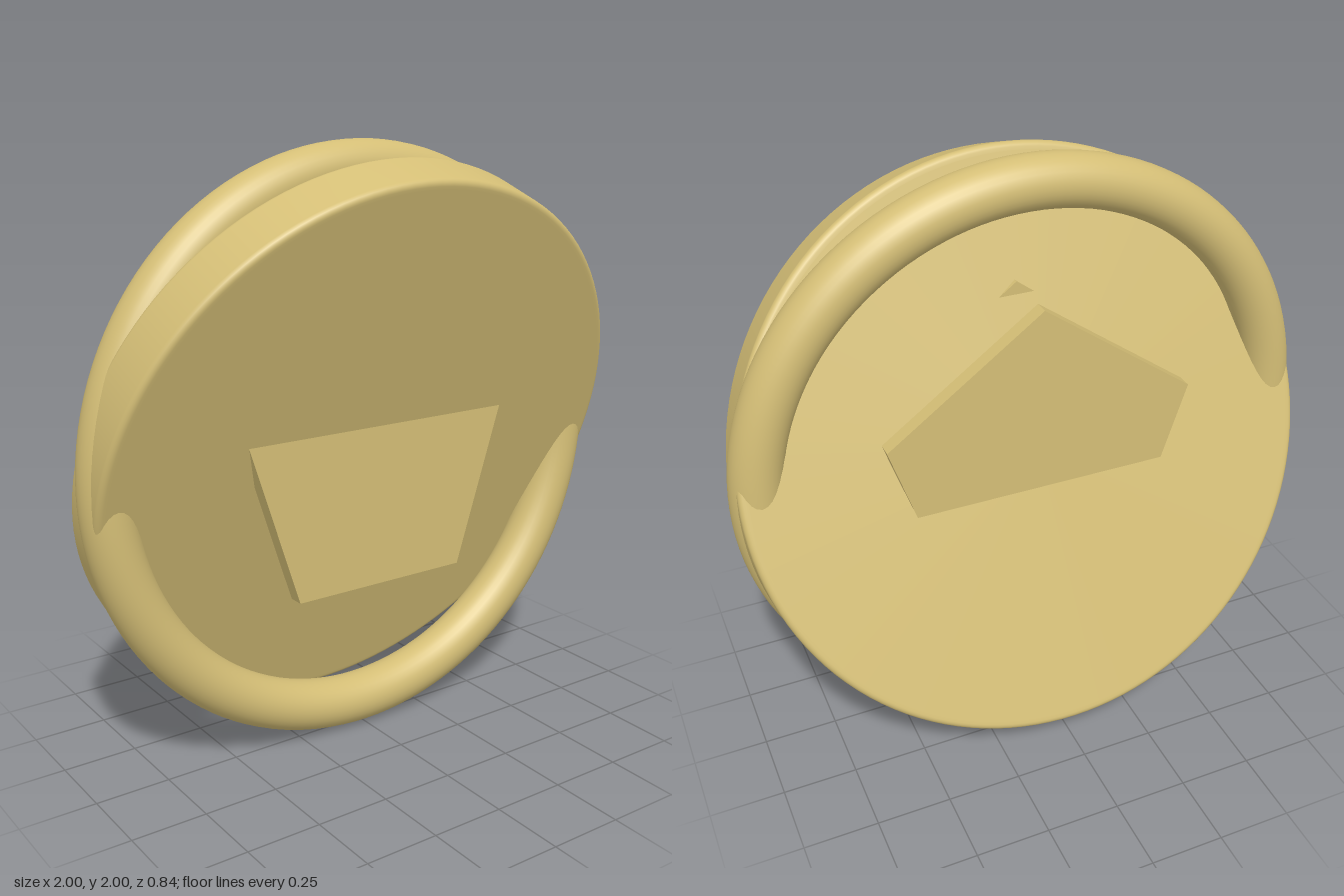
import * as THREE from 'three';

const CENTRE_Y = 1;

export function createModel() {
  const model = new THREE.Group();
  model.name = 'tiltedDiscEmblem';
  const gold = new THREE.MeshStandardMaterial({ color: 0xd4be76 });
  gold.name = 'gold';

  const add = (name, geometry) => {
    const mesh = new THREE.Mesh(geometry, gold);
    mesh.name = name;
    mesh.position.y = CENTRE_Y;
    model.add(mesh);
    return mesh;
  };

  // Upright outer ring
  add('ring', new THREE.TorusGeometry(0.914, 0.086, 32, 128));

  // Solid disc with softly rounded rim, leaning forward at the top
  const R = 0.982, H = 0.095, B = 0.02;
  const profile = [new THREE.Vector2(0, -H), new THREE.Vector2(R - B - 0.01, -H)];
  for (const side of [-1, 1]) {
    for (let i = 0; i <= 5; i++) {
      const a = (side < 0 ? -Math.PI / 2 : 0) + (i / 5) * Math.PI / 2;
      profile.push(new THREE.Vector2(R - B + B * Math.cos(a), side * (H - B) + B * Math.sin(a)));
    }
  }
  profile.push(new THREE.Vector2(R - B - 0.01, H), new THREE.Vector2(0, H));
  const discGeometry = new THREE.LatheGeometry(profile, 128);
  discGeometry.rotateX(Math.PI / 2);
  add('disc', discGeometry).rotation.x = THREE.MathUtils.degToRad(20);

  // Thin pentagon plates, one in front and one behind
  const corners = [];
  for (let i = 0; i < 5; i++) {
    const a = Math.PI / 2 + (i / 5) * Math.PI * 2;
    corners.push(new THREE.Vector2(0.553 * Math.cos(a), 0.553 * Math.sin(a)));
  }
  const T = 0.052;
  const plate = new THREE.ExtrudeGeometry(new THREE.Shape(corners), { depth: T, bevelEnabled: false });
  plate.translate(0, 0, -T / 2);
  add('frontPentagon', plate).position.z = 0.11;
  add('backPentagon', plate).position.z = -0.11;

  return model;
}
